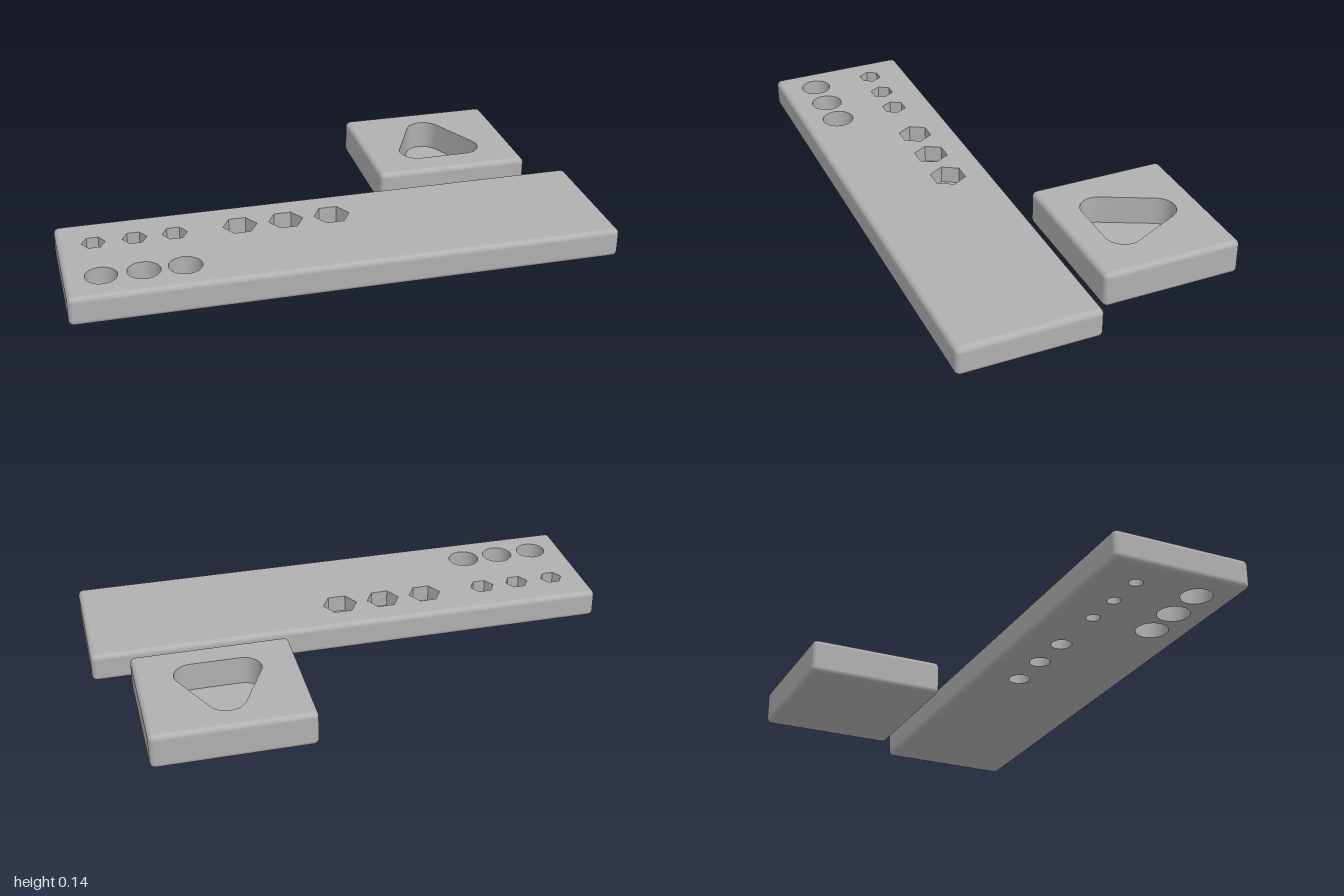
import * as THREE from 'three';
import { toCreasedNormals } from 'three/addons/utils/BufferGeometryUtils.js';
import { RoundedBoxGeometry } from 'three/addons/geometries/RoundedBoxGeometry.js';

const ROUND = 0.02;

// Regular outline in plan; plan coordinates are (x, -z), counterclockwise
function ring(x, z, r, sides) {
  return Array.from({ length: sides }, (_, i) => {
    const a = (i / sides) * Math.PI * 2;
    return new THREE.Vector2(x + r * Math.cos(a), -z + r * Math.sin(a));
  });
}

// Horizontal face at height y with holes cut out
function flatFace(outline, holes, y, up = true) {
  const shape = new THREE.Shape(outline);
  shape.holes = holes.map((h) => new THREE.Path(h));
  const geo = new THREE.ShapeGeometry(shape);
  geo.rotateX(-Math.PI / 2);
  geo.translate(0, y, 0);
  if (!up) {
    geo.index.array.reverse();
    geo.computeVertexNormals();
  }
  return geo;
}

// Inward-facing wall of a hole between two heights
function holeWall(points, low, high) {
  const pos = [];
  points.forEach((a, i) => {
    const b = points[(i + 1) % points.length];
    const bl = [b.x, low, -b.y], al = [a.x, low, -a.y];
    const ah = [a.x, high, -a.y], bh = [b.x, high, -b.y];
    pos.push(...bl, ...al, ...ah, ...bl, ...ah, ...bh);
  });
  const geo = new THREE.BufferGeometry();
  geo.setAttribute('position', new THREE.Float32BufferAttribute(pos, 3));
  return toCreasedNormals(geo, 0.6);
}

// Rounded box without its flat top and bottom
function roundedRim(w, h, d) {
  const box = new RoundedBoxGeometry(w, h, d, 4, ROUND);
  const src = box.index ? box.toNonIndexed() : box;
  const p = src.attributes.position, n = src.attributes.normal;
  const pos = [], nor = [];
  for (let i = 0; i < p.count; i += 3) {
    const ids = [i, i + 1, i + 2];
    const flat = [1, -1].some((s) => ids.every((k) => s * p.getY(k) > h / 2 - 1e-5));
    if (flat) continue;
    ids.forEach((k) => {
      pos.push(p.getX(k), p.getY(k), p.getZ(k));
      nor.push(n.getX(k), n.getY(k), n.getZ(k));
    });
  }
  const geo = new THREE.BufferGeometry();
  geo.setAttribute('position', new THREE.Float32BufferAttribute(pos, 3));
  geo.setAttribute('normal', new THREE.Float32BufferAttribute(nor, 3));
  return geo;
}

export function createModel() {
  const model = new THREE.Group();
  model.name = 'testPlates';
  const grey = new THREE.MeshStandardMaterial({ color: 0xb0b0b0, side: THREE.DoubleSide });
  grey.name = 'grey';

  function add(parent, name, geo) {
    const mesh = new THREE.Mesh(geo, grey);
    mesh.name = name;
    parent.add(mesh);
    return mesh;
  }

  // Rounded slab whose flat faces carry the given openings
  function slab(name, x0, x1, z0, z1, h, topHoles, bottomHoles) {
    const group = new THREE.Group();
    group.name = name;
    const rim = add(group, name + 'Rim', roundedRim(x1 - x0, h, z1 - z0));
    rim.position.set((x0 + x1) / 2, h / 2, (z0 + z1) / 2);
    const r = ROUND;
    const outline = [[x0 + r, -z1 + r], [x1 - r, -z1 + r], [x1 - r, -z0 - r], [x0 + r, -z0 - r]]
      .map(([x, y]) => new THREE.Vector2(x, y));
    add(group, name + 'Top', flatFace(outline, topHoles, h));
    add(group, name + 'Bottom', flatFace(outline, bottomHoles, 0, false));
    model.add(group);
    return group;
  }

  // Long plate: nut pockets with bores, and plain through holes
  const plateH = 0.11;
  const nuts = [
    [-0.87, 0.043, 0.025], [-0.722, 0.045, 0.025], [-0.576, 0.047, 0.026],
    [-0.335, 0.063, 0.039], [-0.163, 0.064, 0.04], [0.011, 0.067, 0.041],
  ].map(([x, hexR, boreR]) => ({ hex: ring(x, 0.19, hexR, 6), bore: ring(x, 0.19, boreR, 32) }));
  const holes = [[-0.87, 0.057], [-0.722, 0.059], [-0.576, 0.06]]
    .map(([x, r]) => ring(x, 0.43, r, 40));
  const plate = slab('plate', -1, 1, 0.035, 0.565, plateH,
    [...nuts.map((n) => n.hex), ...holes], [...nuts.map((n) => n.bore), ...holes]);
  nuts.forEach(({ hex, bore }, i) => {
    const floor = i < 3 ? 0.06 : 0.045;
    add(plate, 'nutPocketWall', holeWall(hex, floor, plateH));
    add(plate, 'nutPocketFloor', flatFace(hex, [bore], floor));
    add(plate, 'boltBore', holeWall(bore, 0, floor));
  });
  holes.forEach((h) => add(plate, 'throughHole', holeWall(h, 0, plateH)));

  // Small block with a rounded triangular recess
  const blockH = 0.135, recessFloor = 0.025, tilt = 0.451;
  const corners = [
    [0.654, 0.212, -Math.PI / 2, tilt],
    [0.563, 0.4, tilt, Math.PI - tilt],
    [0.472, 0.212, Math.PI - tilt, Math.PI * 1.5],
  ];
  const triangle = corners.flatMap(([x, y, a0, a1]) => Array.from({ length: 13 }, (_, i) => {
    const a = a0 + ((a1 - a0) * i) / 12;
    return new THREE.Vector2(x + 0.07 * Math.cos(a), y + 0.07 * Math.sin(a));
  }));
  const block = slab('block', 0.268, 0.862, -0.565, -0.035, blockH, [triangle], []);
  add(block, 'recessWall', holeWall(triangle, recessFloor, blockH));
  add(block, 'recessFloor', flatFace(triangle, [], recessFloor));

  return model;
}
